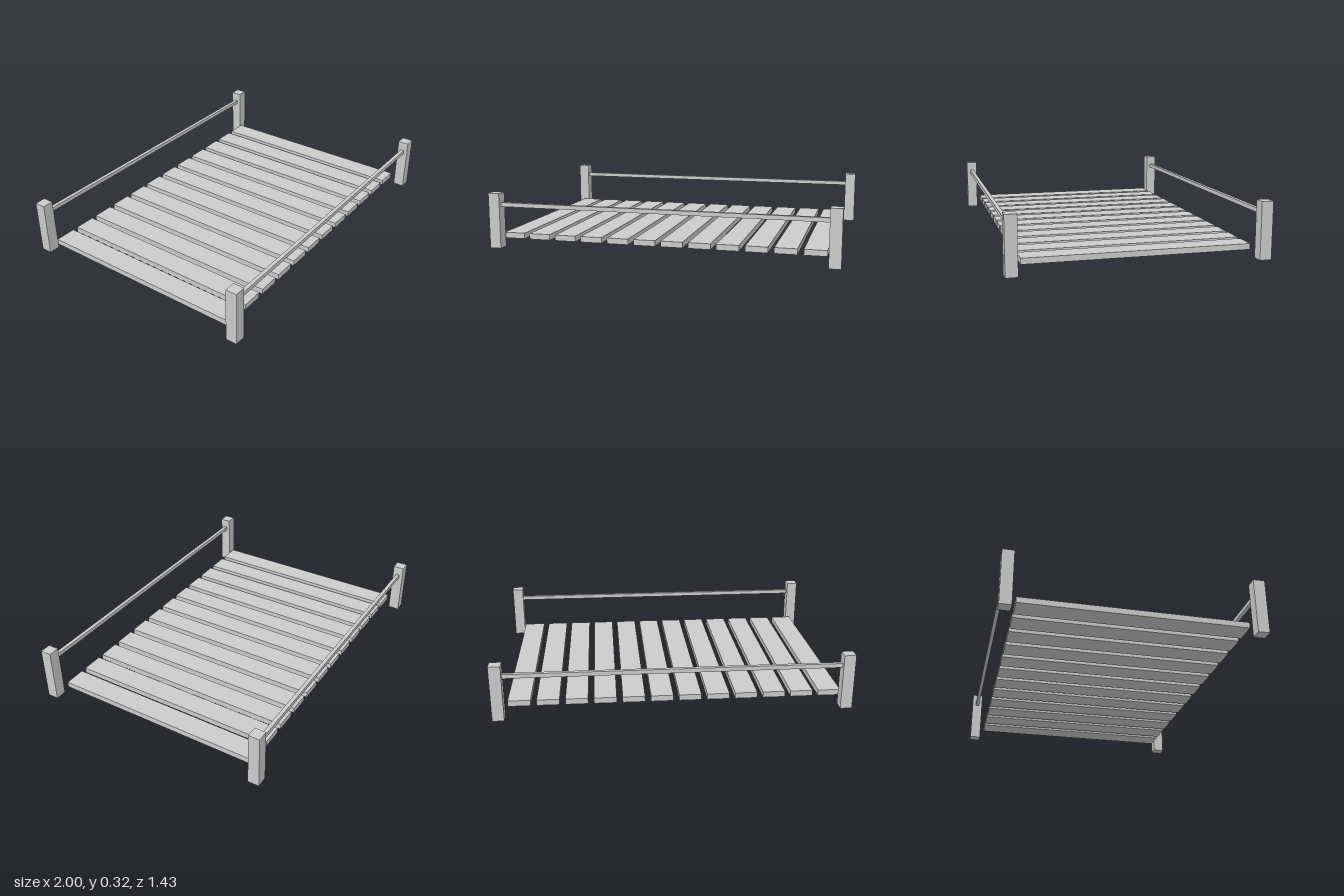
import * as THREE from 'three';

export function createModel() {
  const group = new THREE.Group();
  const material = new THREE.MeshStandardMaterial({ color: 0xcccccc, flatShading: true });

  const addBox = (name, [w, h, d], [x, y, z]) => {
    const mesh = new THREE.Mesh(new THREE.BoxGeometry(w, h, d), material);
    mesh.name = name;
    mesh.position.set(x, y, z);
    group.add(mesh);
  };

  // Deck planks, running front to back
  const plankCount = 12;
  for (let i = 0; i < plankCount; i++) {
    addBox('plank', [0.126, 0.033, 1.252], [-0.89 + i * 0.159, 0.06, 0]);
  }

  // Corner posts, and one handrail along the front and back
  for (const side of [1, -1]) {
    const z = side * 0.682;
    for (const x of [-0.967, 0.967]) addBox('post', [0.066, 0.32, 0.066], [x, 0.16, z]);
    addBox('handrail', [1.87, 0.024, 0.022], [0, 0.253, z]);
  }

  return group;
}
